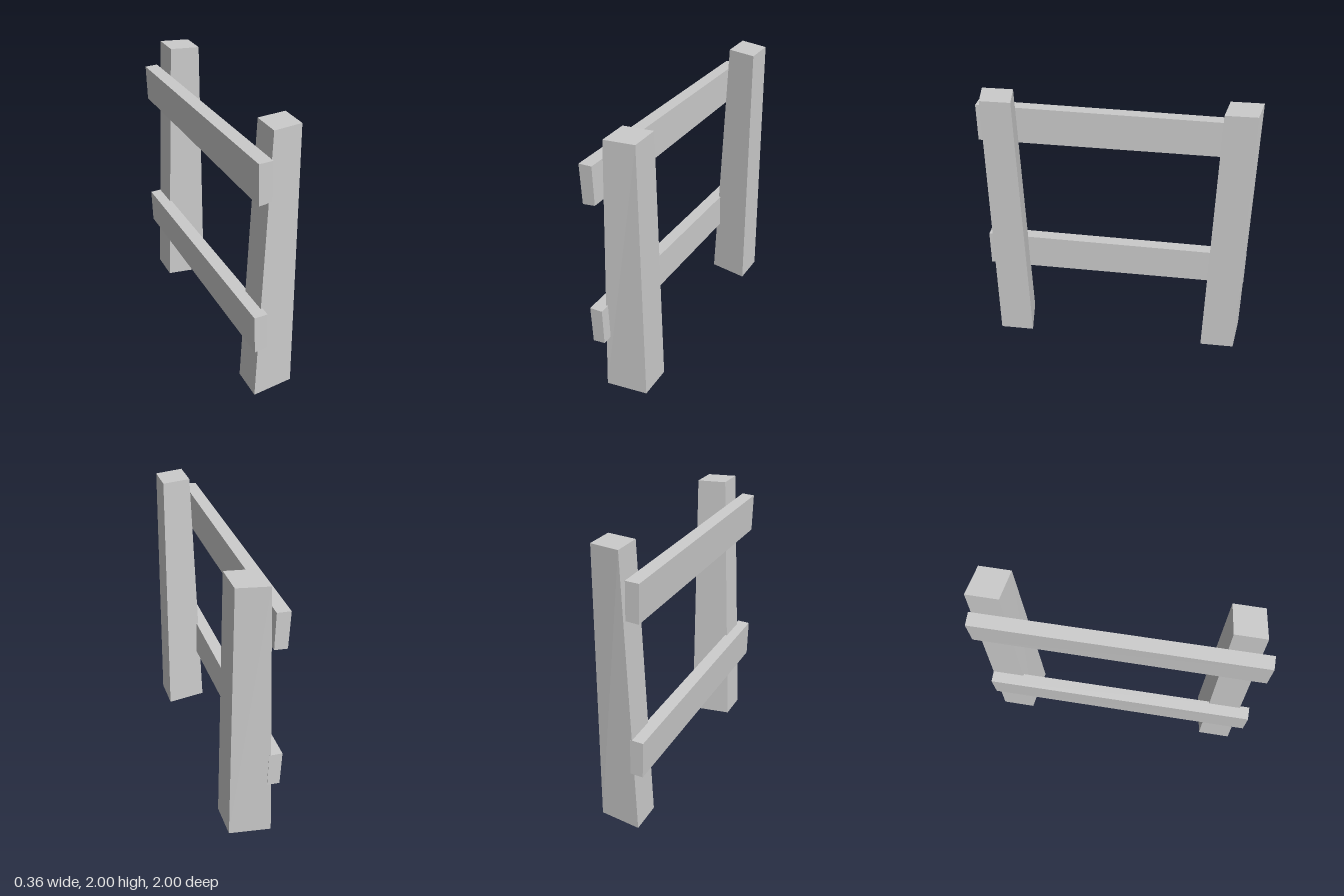
import * as THREE from 'three';

const material = new THREE.MeshStandardMaterial({ color: 0xcccccc, flatShading: true });

// Six-sided timber from a bottom and a top ring of four corners,
// each ring ordered: +x front, +x back, -x back, -x front.
function timber(name, bottom, top) {
  const positions = [];
  const quad = (a, b, c, d) => positions.push(...a, ...b, ...c, ...a, ...c, ...d);
  quad(...top);
  quad(...[...bottom].reverse());
  for (let i = 0; i < 4; i++) {
    const j = (i + 1) % 4;
    quad(bottom[i], bottom[j], top[j], top[i]);
  }
  const geometry = new THREE.BufferGeometry();
  geometry.setAttribute('position', new THREE.Float32BufferAttribute(positions, 3));
  geometry.computeVertexNormals();
  const mesh = new THREE.Mesh(geometry, material);
  mesh.name = name;
  return mesh;
}

// Tapered upright post with a slightly slanted foot: each ring is a list of [x, z] corners
function post(name, base, cap) {
  return timber(
    name,
    base.map(([x, z]) => [x, x > 0 ? 0.006 : 0, z]),
    cap.map(([x, z]) => [x, 2, z])
  );
}

// Slightly uneven plank sloping down towards the back
function rail(name, y) {
  return timber(
    name,
    [[-0.079, y + 0.013, 1], [-0.079, y - 0.005, -1], [-0.17, y - 0.012, -1], [-0.17, y, 1]],
    [[-0.084, y + 0.288, 1], [-0.084, y + 0.258, -1], [-0.179, y + 0.253, -1], [-0.179, y + 0.283, 1]]
  );
}

export function createModel() {
  const group = new THREE.Group();
  group.name = 'fence';

  // Posts
  group.add(post(
    'frontPost',
    [[0.177, 0.89], [0.177, 0.637], [-0.128, 0.685], [-0.128, 0.93]],
    [[0.162, 0.89], [0.162, 0.675], [-0.046, 0.706], [-0.046, 0.925]]
  ));
  group.add(post(
    'backPost',
    [[0.176, -0.705], [0.176, -0.957], [-0.125, -1], [-0.125, -0.755]],
    [[0.166, -0.737], [0.166, -0.957], [-0.046, -1], [-0.046, -0.775]]
  ));

  // Rails
  group.add(rail('upperRail', 1.557));
  group.add(rail('lowerRail', 0.445));
  return group;
}
